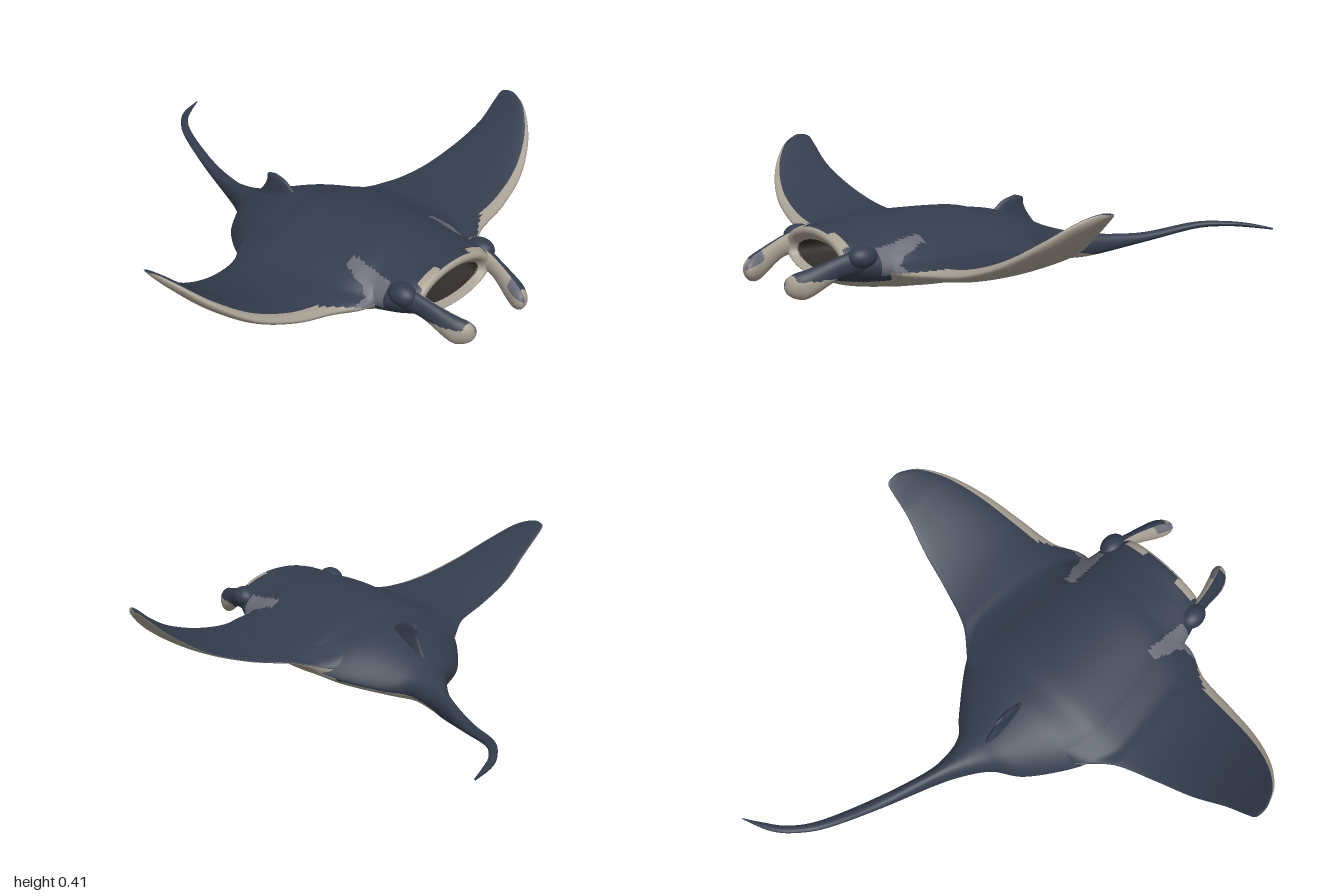
import * as THREE from 'three';

const paint = (name, color) => {
  const m = new THREE.MeshStandardMaterial({ color });
  m.name = name;
  return m;
};

// Smoothly resample rows of numbers, Catmull-Rom on each column
function resample(rows, steps) {
  const out = [];
  const at = (i) => rows[Math.min(Math.max(i, 0), rows.length - 1)];
  for (let i = 0; i < rows.length - 1; i++) {
    for (let s = 0; s < steps; s++) {
      const t = s / steps;
      out.push(rows[i].map((b, k) => {
        const a = at(i - 1)[k], c = at(i + 1)[k], d = at(i + 2)[k];
        return b + 0.5 * t * (c - a + t * (2 * a - 5 * b + 4 * c - d + t * (3 * (b - c) + d - a)));
      }));
    }
  }
  out.push(rows[rows.length - 1]);
  return out;
}

// Skin closed rings; pick(point, angle, row) returns a material index per triangle
function loft(name, rows, n, point, materials, pick, flip = false) {
  const pos = [];
  for (const row of rows) {
    for (let j = 0; j < n; j++) pos.push(...point(row, (j / n) * Math.PI * 2));
  }
  const lists = materials.map(() => []);
  const add = (a, b, c, angle, i) => {
    const p = [0, 1, 2].map((k) => (pos[a * 3 + k] + pos[b * 3 + k] + pos[c * 3 + k]) / 3);
    lists[pick(p, angle, i)].push(...(flip ? [a, c, b] : [a, b, c]));
  };
  for (let i = 0; i < rows.length - 1; i++) {
    for (let j = 0; j < n; j++) {
      const a = i * n + j, b = i * n + ((j + 1) % n);
      const angle = ((j + 0.5) / n) * Math.PI * 2;
      add(a, a + n, b, angle, i);
      add(b, a + n, b + n, angle, i);
    }
  }
  const geo = new THREE.BufferGeometry();
  geo.setAttribute('position', new THREE.Float32BufferAttribute(pos, 3));
  geo.setIndex(lists.flat());
  let start = 0;
  lists.forEach((list, k) => {
    geo.addGroup(start, list.length, k);
    start += list.length;
  });
  geo.computeVertexNormals();
  const mesh = new THREE.Mesh(geo, materials);
  mesh.name = name;
  return mesh;
}

// Maximum with a rounded join, for fillets
const softMax = (a, b, k) => Math.max(a, b) + Math.max(k - Math.abs(a - b), 0) ** 2 / (4 * k);

// Pale shoulder patch area
const inPatch = ([x, y, z]) => {
  const ax = Math.abs(x), d = z - 0.5;
  return d > 0 && d < 0.18 && y > 0.125 && ax > 0.195 + 0.05 * d && (ax < 0.235 + 0.25 * d || d > 0.13);
};

// Height of the body skin at angle a of a section
const bodyY = ([, , , ym, yt, yb, p], s) =>
  s > 0 ? ym + (yt - ym) * s ** p : ym - (ym - yb) * (-s) ** (1 + (p - 1) / 2);

export function createModel() {
  const model = new THREE.Group();
  model.name = 'mantaRay';
  const back = paint('slate back', 0x343c4d);
  const belly = paint('cream belly', 0xa69e92);
  const grey = paint('shoulder grey', 0x6a6b78);
  const throat = paint('dark throat', 0x302c2a);
  const skin = [back, belly, grey];

  // Body: z, half width, edge y, top y, bottom y, edge sharpness
  const bodyKeys = [
    [0.775, 0.15, 0.16, 0.215, 0.108, 1],
    [0.803, 0.175, 0.165, 0.243, 0.097, 1],
    [0.79, 0.2, 0.17, 0.265, 0.085, 1],
    [0.72, 0.235, 0.16, 0.266, 0.058, 1],
    [0.62, 0.265, 0.14, 0.274, 0.04, 1.2],
    [0.5, 0.33, 0.135, 0.282, 0.03, 1.6],
    [0.2, 0.36, 0.13, 0.262, 0.018, 1.7],
    [0.1, 0.335, 0.115, 0.242, 0.014, 1.6],
    [0, 0.285, 0.09, 0.222, 0.01, 1.5],
    [-0.14, 0.175, 0.065, 0.168, 0.005, 1.4],
  ];
  // Tail: z, centre x, half width, centre y, half height
  const tailKeys = [
    [-0.21, 0.018, 0.092, 0.07, 0.067],
    [-0.3, 0.045, 0.049, 0.055, 0.054],
    [-0.4, 0.077, 0.03, 0.047, 0.042],
    [-0.6, 0.143, 0.024, 0.059, 0.019],
    [-0.8, 0.218, 0.02, 0.092, 0.013],
    [-0.9, 0.288, 0.02, 0.098, 0.01],
    [-0.96, 0.365, 0.024, 0.097, 0.008],
    [-1, 0.45, 0.004, 0.093, 0.004],
  ];
  const bodyRows = resample([
    ...bodyKeys.map(([z, ...rest]) => [z, 0, ...rest]),
    ...tailKeys.map(([z, cx, w, y, h]) => [z, cx, w, y, y + h, y - h, 1]),
  ], 10);
  model.add(loft('bodyAndTail', bodyRows, 112,
    (row, a) => [row[1] + row[2] * Math.cos(a), bodyY(row, Math.sin(a)), row[0]],
    skin, (p, a, i) => {
      const [x, y, z] = p;
      if (i < 19) return 1;
      if (z > 0.768 && y > 0.2 && Math.abs(Math.abs(x) - 0.125) < 0.045) return 1;
      if (z > 0.62 && y > 0.1) return inPatch(p) ? 2 : 0;
      if (a > Math.PI) return z > 0 || y < 0.08 + 0.17 * z ? 1 : 0;
      return inPatch(p) ? 2 : 0;
    }));

  // Body surface height above or below a point, sloping away past the edge
  const bodyHeight = (x, z, sign) => {
    const i = bodyRows.findIndex((r, k) => k > 20 && r[0] <= z);
    const r0 = bodyRows[i - 1], r1 = bodyRows[i];
    const t = (z - r0[0]) / (r1[0] - r0[0]);
    const row = r0.map((v, k) => v + (r1[k] - v) * t);
    const q = x / row[2];
    return q < 1 ? bodyY(row, sign * Math.sqrt(1 - q * q)) : row[3] - sign * (x - row[2]) * 1.5;
  };

  // Mouth cavity: z, half width, half height
  const mouthRows = resample([[0.42, 0.002, 0.001], [0.44, 0.09, 0.035], [0.6, 0.14, 0.054], [0.778, 0.151, 0.055]], 4);
  model.add(loft('mouthCavity', mouthRows, 40,
    ([z, w, h], a) => [w * Math.cos(a), 0.161 + h * Math.sin(a), z], [throat], () => 0));

  // Wing stations: x, front z, rear z, centre y, half thickness
  const wingRows = resample([
    [0.13, 0.61, -0.04, 0.14, 0.057],
    [0.27, 0.655, 0.01, 0.138, 0.053],
    [0.4, 0.602, 0.11, 0.143, 0.044],
    [0.55, 0.577, 0.163, 0.168, 0.037],
    [0.7, 0.54, 0.2, 0.222, 0.036],
    [0.82, 0.477, 0.235, 0.298, 0.033],
    [0.9, 0.397, 0.243, 0.368, 0.026],
    [0.935, 0.325, 0.25, 0.4, 0.015],
    [0.943, 0.282, 0.278, 0.405, 0.001],
  ], 10);

  // Head fin sections from tip to root: z, x, y, half width, half height
  const hornRows = resample([
    [1, 0.138, 0.115, 0.001, 0.001],
    [0.992, 0.14, 0.115, 0.022, 0.026],
    [0.965, 0.151, 0.115, 0.035, 0.044],
    [0.925, 0.166, 0.122, 0.035, 0.049],
    [0.82, 0.19, 0.165, 0.025, 0.038],
    [0.73, 0.2, 0.18, 0.034, 0.047],
  ], 8);

  for (const side of [1, -1]) {
    const label = side > 0 ? 'left' : 'right';
    // Wing, filleted into the body above and below
    model.add(loft(label + 'Wing', wingRows, 64, ([x, zf, zb, ym, th], a) => {
      const c = Math.cos(a), s = Math.sin(a), sign = s < 0 ? -1 : 1;
      const drop = Math.max(0, 0.4 - x) * 0.16;
      const y = ym + th * s * (0.75 + 0.3 * c) - drop * (1 - c) / 2;
      const z = (zf + zb) / 2 + c * (zf - zb) / 2;
      const joined = sign * softMax(sign * y, sign * bodyHeight(x, z, sign) - 0.003, 0.06);
      return [side * x, y + (joined - y) * Math.min(1, Math.abs(s) * 3), z];
    }, skin, (p, a) => {
      if (a > Math.PI || a < Math.min(0.56, (Math.abs(p[0]) - 0.3) * 4)) return 1;
      return inPatch(p) ? 2 : 0;
    }, side < 0));

    model.add(loft(label + 'HeadFin', hornRows, 32,
      ([z, x, y, w, h], a) => [side * (x + w * Math.cos(a)), y + h * Math.sin(a), z],
      skin, ([, y, z], a) => {
        const inner = Math.cos(a) < -0.1;
        if (inner && z > 0.92 && Math.sin(a) > 0.3) return 2;
        if (inner || z > 0.975) return 1;
        return y < 0.135 && z > 0.84 ? 1 : 0;
      }, side < 0));

    // Eye bulge
    const eye = new THREE.Mesh(new THREE.SphereGeometry(1, 24, 16), back);
    eye.name = label + 'Eye';
    eye.scale.set(0.044, 0.04, 0.055);
    eye.position.set(side * 0.21, 0.194, 0.74);
    model.add(eye);
  }

  // Dorsal fin levels: y, front z, rear z, half thickness
  const finRows = resample([
    [0.13, 0.1, -0.19, 0.03],
    [0.2, 0.05, -0.135, 0.018],
    [0.235, 0.01, -0.118, 0.013],
    [0.258, -0.025, -0.116, 0.01],
    [0.271, -0.075, -0.08, 0.001],
  ], 4);
  model.add(loft('dorsalFin', finRows, 28,
    ([y, zf, zb, w], a) => [w * Math.cos(a), y, (zf + zb) / 2 + Math.sin(a) * (zf - zb) / 2], [back], () => 0));

  return model;
}
